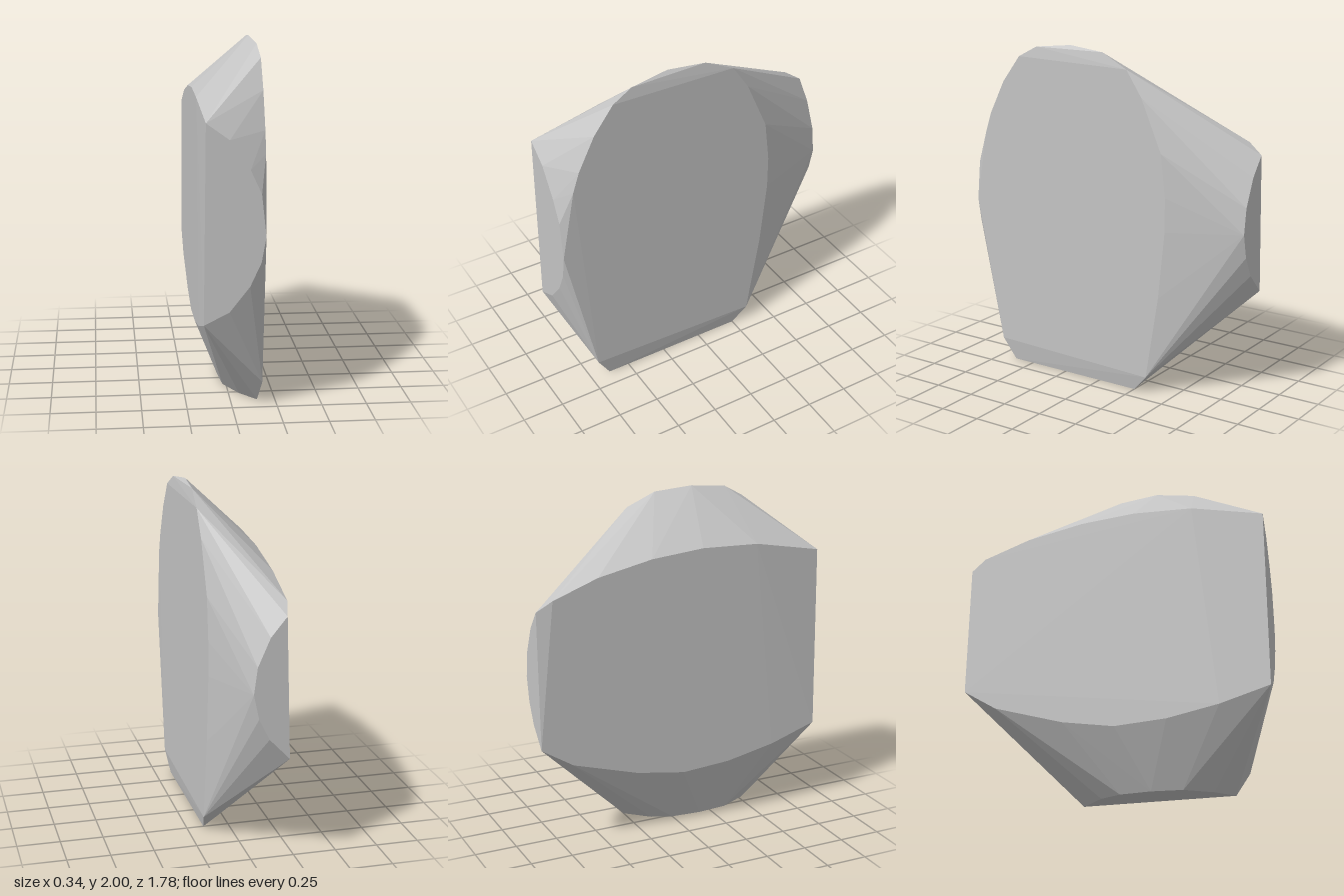
import * as THREE from 'three';
import { ConvexGeometry } from 'three/addons/geometries/ConvexGeometry.js';

// Each outline is a list of corners around one cut face of the stone slab.
const V = (x, y, z) => new THREE.Vector3(x, y, z);

export function createModel() {
  const group = new THREE.Group();
  group.name = 'stoneSlab';
  const stone = new THREE.MeshStandardMaterial({ color: 0xc4c4c4, flatShading: true });
  stone.name = 'grey stone';

  // broad left face, [z, y] at x = 0.17
  const leftFace = [
    [0.55, 1.91], [0.67, 1.75], [0.77, 1.55], [0.81, 1.43], [0.71, 0.13], [-0.34, 0.1],
    [-0.42, 0.6], [-0.46, 1.0], [-0.46, 1.2], [-0.43, 1.45], [-0.3, 1.75], [-0.2, 1.9],
  ].map(([z, y]) => V(0.17, y, z));

  // broad right face, [z, y] at x = -0.175
  const rightFace = [
    [0.47, 1.69], [0.12, 1.7], [-0.2, 1.67], [-0.53, 1.6], [-0.8, 1.5],
    [-0.89, 0.64], [-0.7, 0.52], [-0.3, 0.4], [0, 0.35], [0.3, 0.37], [0.6, 0.43],
  ].map(([z, y]) => V(-0.175, y, z));

  // narrow front face, [x, y] at z = 0.89
  const frontFace = [
    [-0.155, 1.61], [-0.03, 1.52], [0.08, 1.36], [0.14, 1.23], [0.165, 1.0],
    [0.14, 0.86], [0.08, 0.73], [-0.03, 0.59], [-0.168, 0.52],
  ].map(([x, y]) => V(x, y, 0.89));

  // narrow back face, [x, y] at z = -0.89
  const backFace = [
    [-0.15, 1.44], [-0.06, 1.33], [0.01, 1.17], [0.03, 1.02], [0, 0.88], [-0.06, 0.76],
  ].map(([x, y]) => V(x, y, -0.89));

  // base the slab stands on, [x, z] at y = 0
  const base = [
    [0.15, 0.63], [0.06, 0.52], [-0.02, 0.36], [-0.035, 0.18], [-0.02, 0.0],
    [0.03, -0.12], [0.15, -0.25],
  ].map(([x, z]) => V(x, 0, z));

  // rounded crest
  const crest = [V(0.16, 1.975, 0.43), V(0.14, 2, 0.2), V(0.155, 1.98, -0.03)];

  const slab = new THREE.Mesh(
    new ConvexGeometry([...leftFace, ...rightFace, ...frontFace, ...backFace, ...base, ...crest]),
    stone,
  );
  slab.name = 'slab';
  group.add(slab);
  return group;
}
